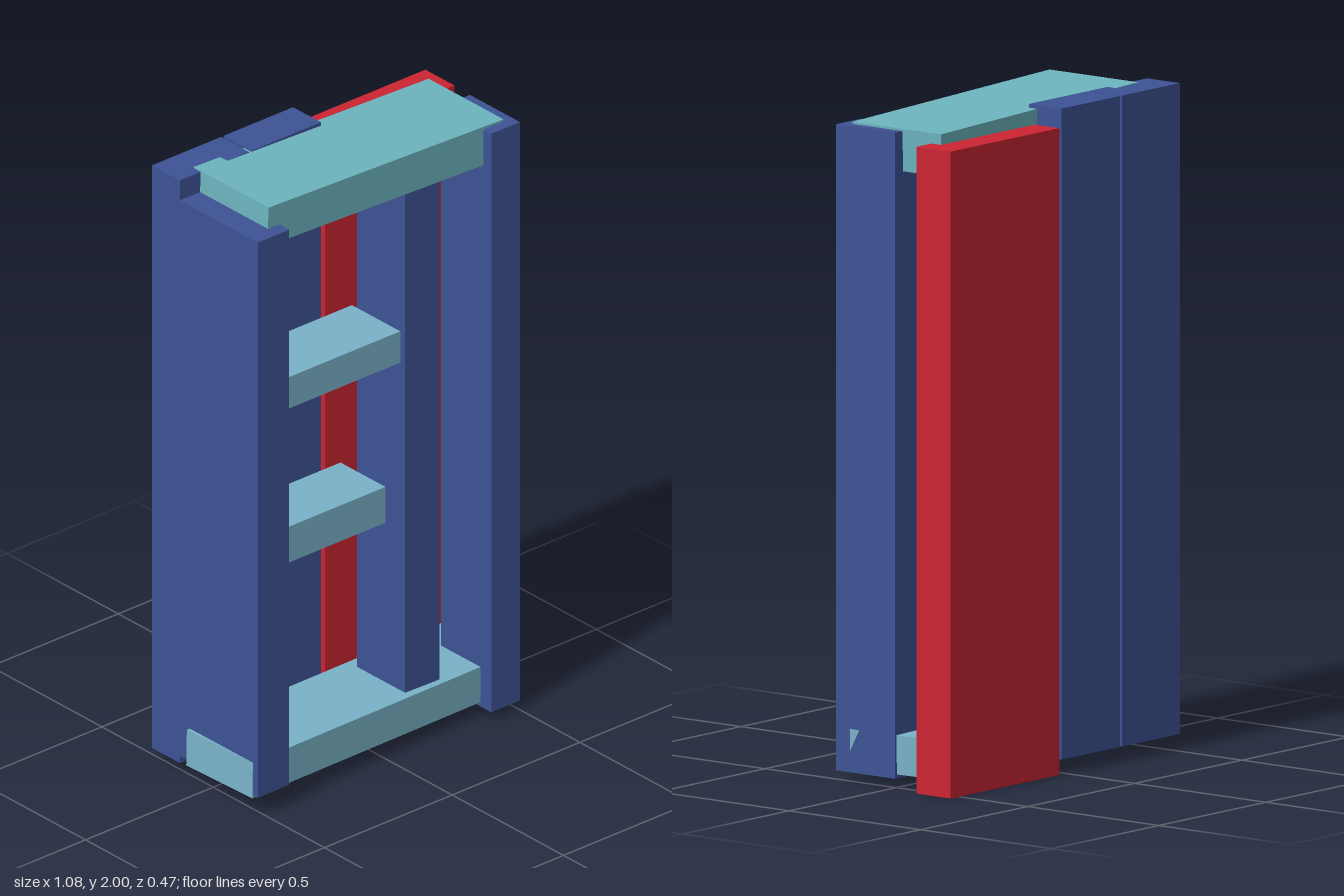
import * as THREE from 'three';

const paint = (color) => new THREE.MeshStandardMaterial({ color, flatShading: true });

export function createModel() {
  const group = new THREE.Group();
  const blue = paint(0x3e5396);
  const red = paint(0xcc2532);
  const teal = paint(0x6db5bf);
  const paleBlue = paint(0x7ab3c9);

  // A plank given by its lower and upper extents on each axis
  function plank(name, material, [x0, x1], [y0, y1], [z0, z1]) {
    const mesh = new THREE.Mesh(new THREE.BoxGeometry(x1 - x0, y1 - y0, z1 - z0), material);
    mesh.name = name;
    mesh.position.set((x0 + x1) / 2, (y0 + y1) / 2, (z0 + z1) / 2);
    group.add(mesh);
    return mesh;
  }

  // Back: two blue boards and one wide red board
  plank('backBoardOuter', blue, [-0.53, -0.26], [0.045, 1.997], [-0.24, -0.115]);
  plank('backBoardInner', blue, [-0.25, 0.022], [0.045, 1.997], [-0.24, -0.115]);
  plank('backBoardRed', red, [0.033, 0.54], [0, 1.94], [-0.24, -0.11]);

  // Upright side panel and posts
  plank('sidePanel', blue, [-0.53, -0.407], [0.07, 1.93], [-0.115, 0.235]);
  plank('frontPost', blue, [0.393, 0.505], [0.027, 1.965], [0, 0.225]);
  plank('middlePost', blue, [0.112, 0.246], [0.12, 1.88], [-0.055, 0.16]);

  // Slightly crooked top and bottom planks
  const top = plank('topPlank', teal, [-0.451, 0.47], [1.858, 1.986], [-0.147, 0.19]);
  top.rotation.z = -0.031;
  const bottom = plank('bottomPlank', paleBlue, [-0.538, 0.5], [0.05, 0.168], [-0.091, 0.193]);
  bottom.rotation.set(0, 0.04, -0.021);

  // Short inner shelves
  plank('upperShelf', paleBlue, [-0.407, 0.087], [1.283, 1.388], [-0.05, 0.167]);
  plank('lowerShelf', paleBlue, [-0.398, 0.077], [0.728, 0.848], [-0.09, 0.112]);

  return group;
}
